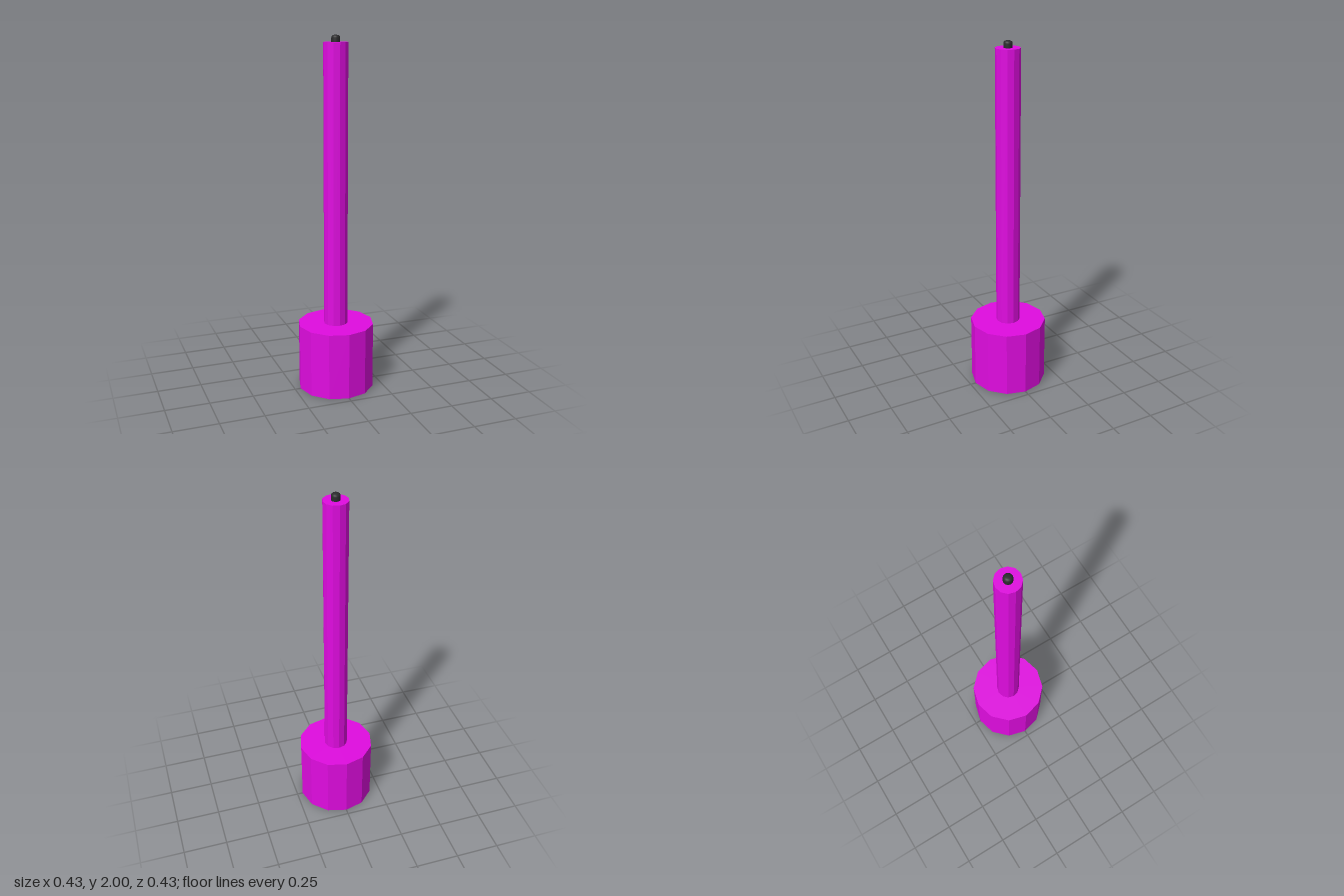
import * as THREE from 'three';

const SIDES = 12;

export function createModel() {
  const model = new THREE.Group();
  const magenta = new THREE.MeshStandardMaterial({ color: 0xe00ce0, flatShading: true });
  const black = new THREE.MeshStandardMaterial({ color: 0x2a2a2c });

  // Faceted column standing between two heights
  function column(name, radius, bottom, top) {
    const mesh = new THREE.Mesh(
      new THREE.CylinderGeometry(radius, radius, top - bottom, SIDES), magenta);
    mesh.position.y = (bottom + top) / 2;
    mesh.name = name;
    model.add(mesh);
  }
  column('base', 0.217, 0, 0.382);
  column('shaft', 0.068, 0.382, 1.963);

  // Small tip with a softly rounded top
  const profile = [
    [0.024, 1.963], [0.024, 1.985], [0.022, 1.993], [0.016, 1.998], [0.008, 2], [0, 2],
  ].map(([r, y]) => new THREE.Vector2(r, y));
  const tip = new THREE.Mesh(new THREE.LatheGeometry(profile, 24), black);
  tip.name = 'tip';
  model.add(tip);

  return model;
}
